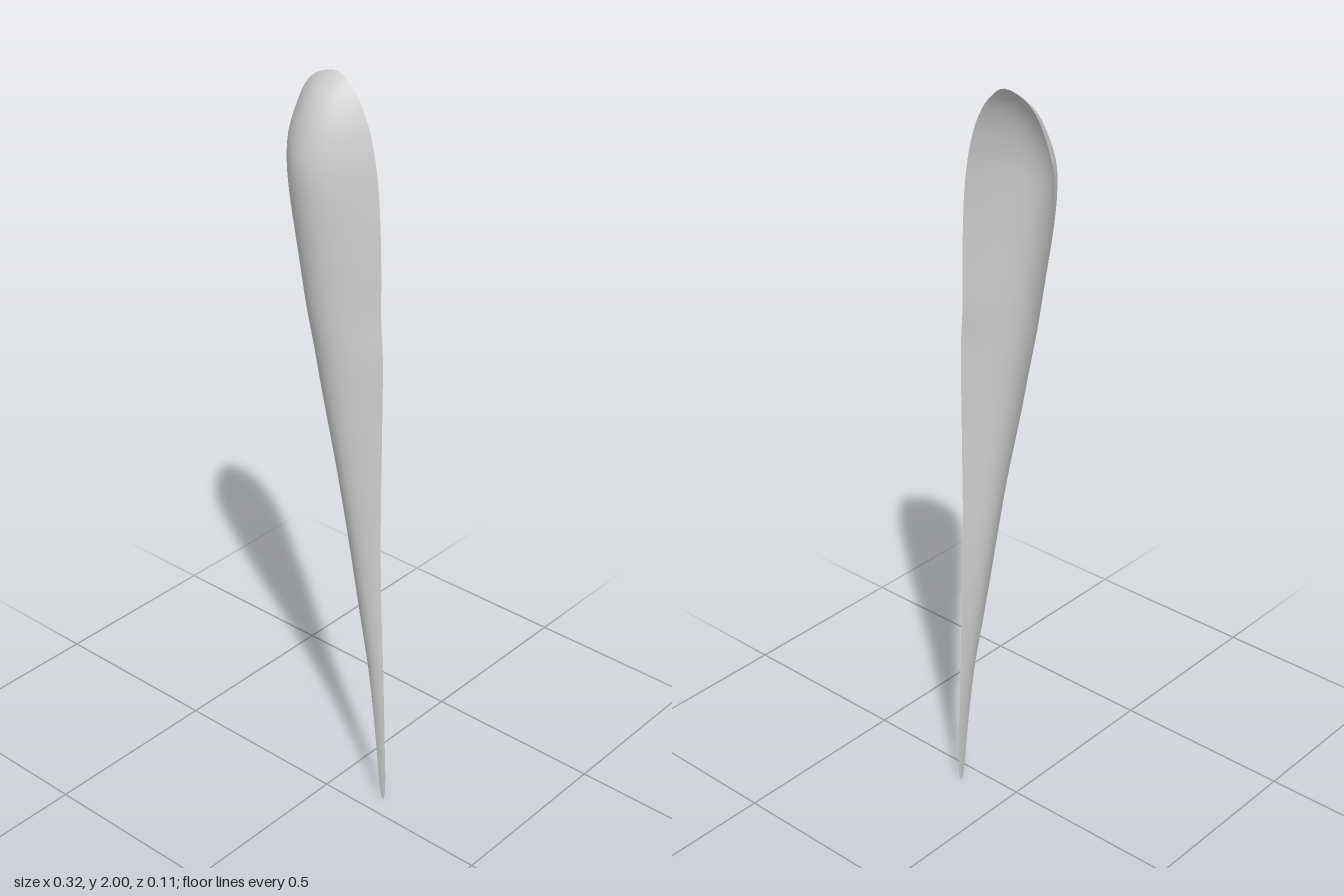
import * as THREE from 'three';

const BACK = -0.056;

// Cross-sections from tip to rounded head: [y, left edge x, right edge x, bulge depth]
const SECTIONS = [
  [0, 0.149, 0.156, 0], [0.03, 0.142, 0.16, 0.001], [0.2, 0.123, 0.155, 0.002],
  [0.4, 0.096, 0.147, 0.008], [0.6, 0.057, 0.137, 0.018], [0.8, 0.02, 0.131, 0.034],
  [1.0, -0.018, 0.13, 0.054], [1.2, -0.063, 0.13, 0.072], [1.32, -0.088, 0.129, 0.082],
  [1.42, -0.109, 0.122, 0.091], [1.55, -0.132, 0.12, 0.1], [1.7, -0.157, 0.113, 0.11],
  [1.78, -0.163, 0.104, 0.112], [1.84, -0.16, 0.092, 0.103], [1.9, -0.14, 0.073, 0.082],
  [1.95, -0.115, 0.046, 0.053], [1.98, -0.085, 0.019, 0.024], [1.995, -0.053, 0, 0.007], [2, -0.03, -0.015, 0],
];

// Open half-shell with a parabolic bulge across each section
function shellGeometry(columns = 32, steps = 3) {
  const edges = new THREE.CatmullRomCurve3(SECTIONS.map(([y, l]) => new THREE.Vector3(l, y, 0)));
  const others = new THREE.CatmullRomCurve3(SECTIONS.map(([y, , r, d]) => new THREE.Vector3(r, y, d)));
  const rows = (SECTIONS.length - 1) * steps;
  const geometry = new THREE.PlaneGeometry(1, 1, columns, rows);
  const position = geometry.attributes.position;
  for (let j = 0; j <= rows; j++) {
    const t = 1 - j / rows;
    const left = edges.getPoint(t);
    const right = others.getPoint(t);
    for (let i = 0; i <= columns; i++) {
      const u = i / columns;
      const across = 2 * u - 1;
      position.setXYZ(
        j * (columns + 1) + i,
        THREE.MathUtils.lerp(left.x, right.x, u),
        THREE.MathUtils.lerp(left.y, right.y, u),
        BACK + Math.max(0, right.z) * (1 - across * across),
      );
    }
  }
  geometry.computeVertexNormals();
  return geometry;
}

export function createModel() {
  const group = new THREE.Group();
  group.name = 'taperedShell';
  const material = new THREE.MeshStandardMaterial({ color: 0xcccccc, side: THREE.DoubleSide });
  const shell = new THREE.Mesh(shellGeometry(), material);
  shell.name = 'shell';
  group.add(shell);
  return group;
}
